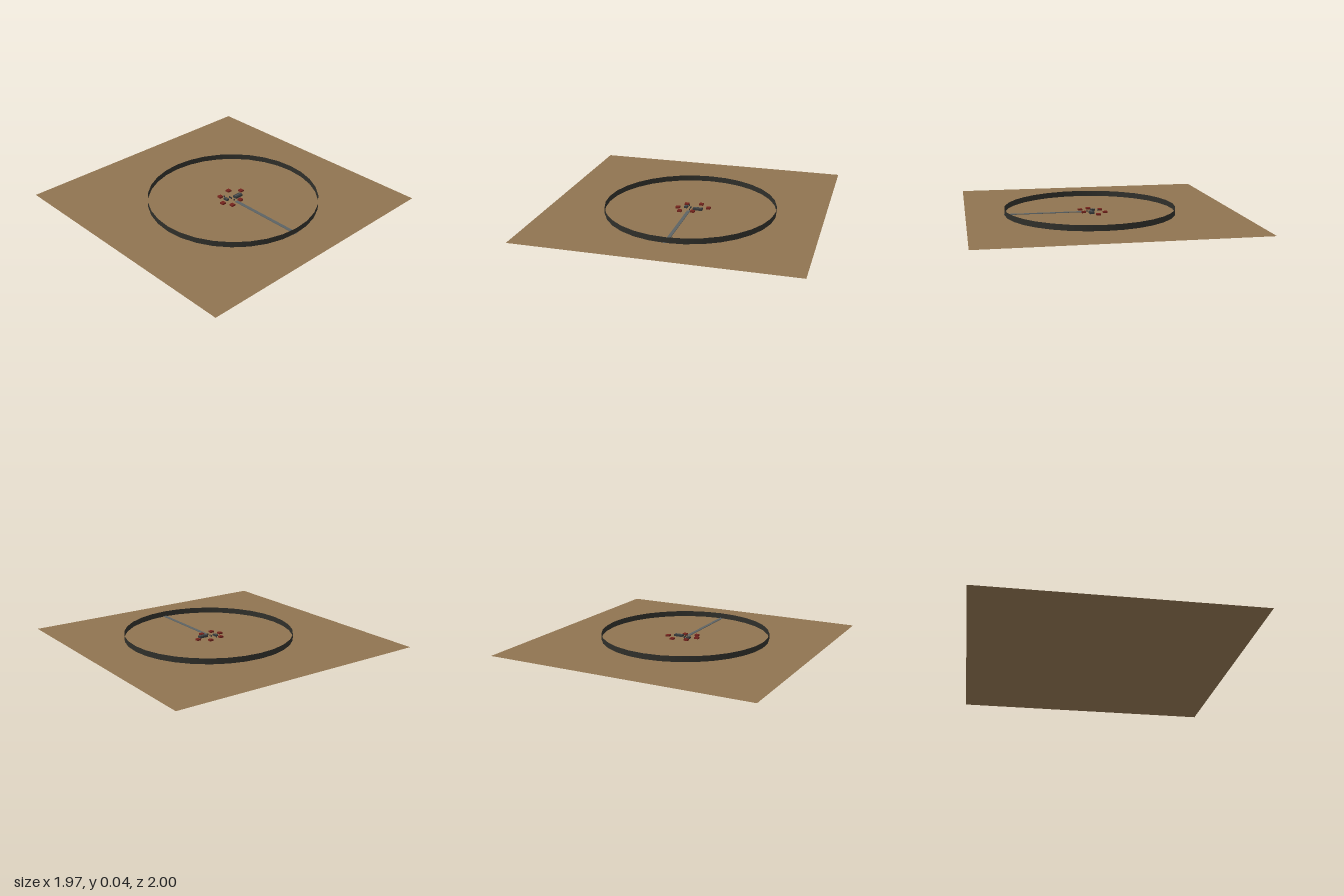
import * as THREE from 'three';

const paint = (name, color, extra = {}) => {
  const m = new THREE.MeshStandardMaterial({ color, ...extra });
  m.name = name;
  return m;
};

export function createModel() {
  const model = new THREE.Group();
  model.name = 'compound';

  const earth = paint('earth', 0x8f7350, { side: THREE.DoubleSide });
  const wallDark = paint('wallDark', 0x2f2f2a, { side: THREE.DoubleSide });
  const roadGrey = paint('roadGrey', 0x5c6263);
  const brickRed = paint('brickRed', 0x74231c);
  const charcoal = paint('charcoal', 0x36393a);
  const slate = paint('slate', 0x4c5152);

  const add = (name, geometry, material, x, y, z) => {
    const mesh = new THREE.Mesh(geometry, material);
    mesh.name = name;
    mesh.position.set(x, y, z);
    model.add(mesh);
    return mesh;
  };
  // Box resting at height "base"
  const block = (name, material, x, z, w, h, d, base = 0) =>
    add(name, new THREE.BoxGeometry(w, h, d), material, x, base + h / 2, z);

  // Flat ground sheet
  add('ground', new THREE.PlaneGeometry(1.97, 2).rotateX(-Math.PI / 2), earth, 0, 0, 0);

  // Thin circular perimeter wall
  add('perimeterWall', new THREE.CylinderGeometry(0.63, 0.63, 0.042, 32, 1, true),
    wallDark, 0.075, 0.021, -0.027);

  // Straight road from the centre to the wall
  block('road', roadGrey, 0.411, -0.022, 0.592, 0.004, 0.024);

  // Six small huts around the yard
  const huts = [[0.034, -0.151], [-0.029, -0.082], [0.125, -0.055],
    [-0.008, 0.024], [0.138, 0.04], [0.072, 0.072]];
  for (const [x, z] of huts) block('hut', brickRed, x, z, 0.03, 0.012, 0.03);

  // Long hall with roof ridge
  block('hall', charcoal, 0.073, -0.08, 0.034, 0.014, 0.069);
  block('hallRidge', slate, 0.073, -0.08, 0.012, 0.003, 0.056, 0.014);

  // Small store with paired roof panels
  block('store', charcoal, 0.048, 0.015, 0.036, 0.012, 0.024);
  for (const side of [-1, 1])
    block('storePanel', slate, 0.048 + side * 0.008, 0.015, 0.01, 0.002, 0.014, 0.012);

  // Narrow posts in the yard
  for (const [x, z] of [[0.045, -0.022], [0.063, -0.022], [0.095, -0.022], [0.01, 0]])
    block('post', charcoal, x, z, 0.008, 0.012, 0.005);

  return model;
}
